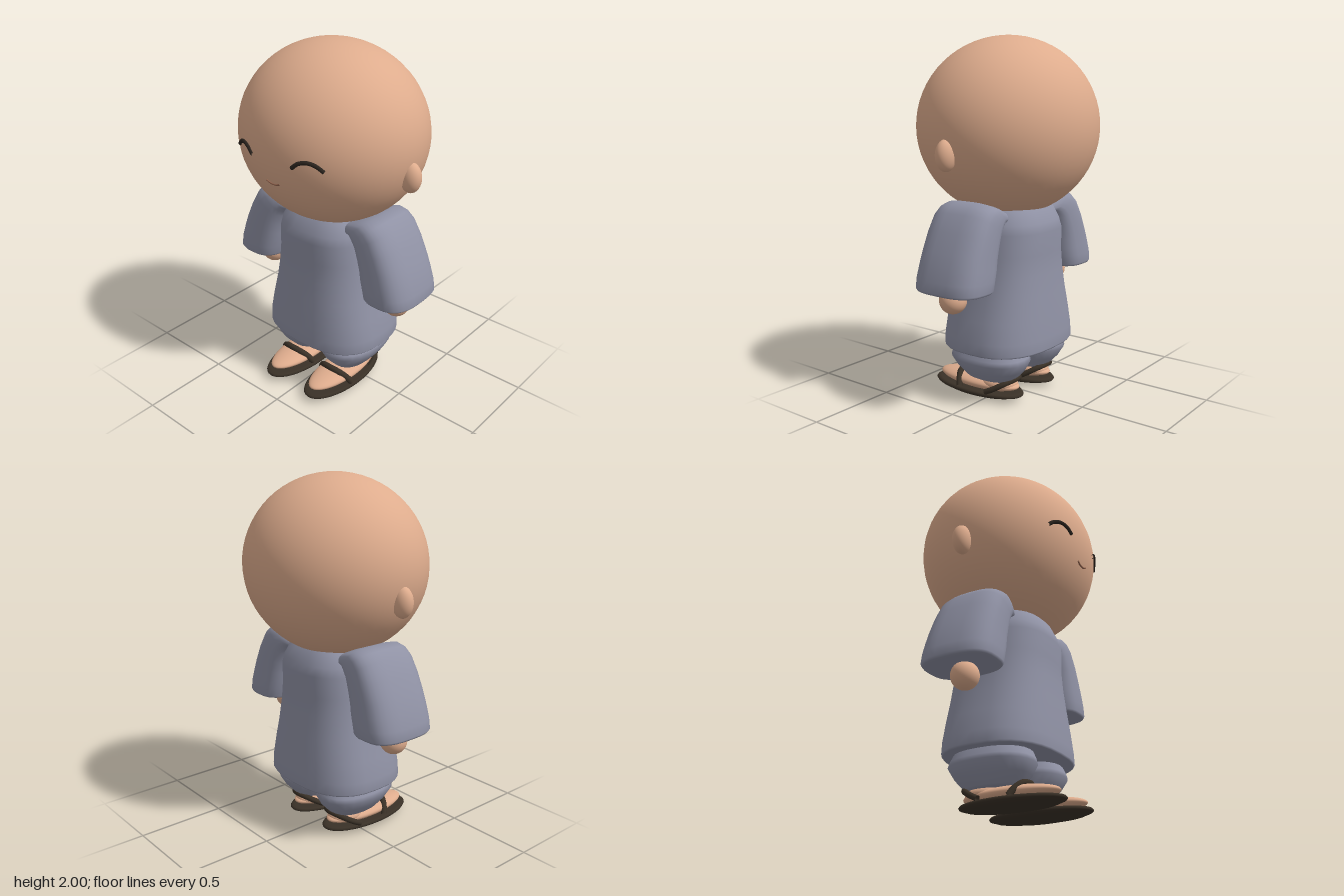
import * as THREE from 'three';

const HEAD = { y: 1.51, rx: 0.53, ry: 0.49, rz: 0.487 };

// Skin a stack of rings, listed bottom to top. Each ring: [outer x, outer y, inner x, inner y, half depth]
function loft(rings, power, segments = 32) {
  const pos = [], index = [];
  const soft = (v) => Math.sign(v) * Math.pow(Math.abs(v), 2 / power);
  rings.forEach(([ox, oy, ix, iy, hz], r) => {
    for (let i = 0; i < segments; i++) {
      const t = (i / segments) * Math.PI * 2;
      const c = soft(Math.cos(t)) / 2;
      pos.push((ox + ix) / 2 + (ox - ix) * c, (oy + iy) / 2 + (oy - iy) * c, hz * soft(Math.sin(t)));
      if (r < rings.length - 1) {
        const a = r * segments + i, b = r * segments + ((i + 1) % segments);
        index.push(a, a + segments, b, b, a + segments, b + segments);
      }
    }
  });
  const g = new THREE.BufferGeometry();
  g.setAttribute('position', new THREE.Float32BufferAttribute(pos, 3));
  g.setIndex(index);
  g.computeVertexNormals();
  return g;
}

// Level ring: centre x, height, half width, half depth
const level = (x, y, rx, rz) => [x + rx, y, x - rx, y, rz];

function ellipsoid(x, y, z, rx, ry, rz) {
  return new THREE.SphereGeometry(1, 48, 32).scale(rx, ry, rz).translate(x, y, z);
}

function tube(points, radius) {
  const curve = new THREE.CatmullRomCurve3(points.map((p) => new THREE.Vector3(...p)));
  return new THREE.TubeGeometry(curve, 28, radius, 10);
}

// Lay a 2D line on the front of the head
function onFace(points) {
  return points.map(([x, y]) => {
    const k = 1 - (x / HEAD.rx) ** 2 - ((y - HEAD.y) / HEAD.ry) ** 2;
    return [x, y, HEAD.rz * Math.sqrt(k)];
  });
}

// Mirrored copy in x with the winding put right
function mirror(geometry) {
  const g = geometry.clone().scale(-1, 1, 1);
  const a = g.index.array;
  for (let i = 0; i < a.length; i += 3) [a[i], a[i + 1]] = [a[i + 1], a[i]];
  return g;
}

export function createModel() {
  const model = new THREE.Group();
  model.name = 'figure';
  const material = (name, color, side = THREE.FrontSide) => {
    const m = new THREE.MeshStandardMaterial({ color, side });
    m.name = name;
    return m;
  };
  const skin = material('skin', 0xdeac8d);
  const cloth = material('greyCloth', 0x9092a5);
  const sandal = material('sandalBrown', 0x3a3127, THREE.DoubleSide);
  const eyeDark = material('eyeDark', 0x2b241e, THREE.DoubleSide);
  const lip = material('lipBrown', 0x94654f, THREE.DoubleSide);

  const add = (name, geometry, mat) => {
    const mesh = new THREE.Mesh(geometry, mat);
    mesh.name = name;
    model.add(mesh);
  };
  const pair = (name, geometry, mat) => {
    add('left' + name, geometry, mat);
    add('right' + name, mirror(geometry), mat);
  };

  // Head and face
  add('head', ellipsoid(0, HEAD.y, 0, HEAD.rx, HEAD.ry, HEAD.rz), skin);
  pair('Ear', ellipsoid(0.515, 1.385, 0.008, 0.06, 0.083, 0.051), skin);
  pair('Eye', tube(onFace([[0.135, 1.48], [0.17, 1.509], [0.212, 1.52], [0.255, 1.509], [0.29, 1.48]]), 0.011), eyeDark);
  add('mouth', tube(onFace([[-0.045, 1.363], [-0.025, 1.354], [0, 1.351], [0.025, 1.354], [0.045, 1.363]]), 0.005), lip);

  // Robe with a closed, slightly rounded hem
  add('robe', loft([
    level(0, 0.3, 0.001, 0.001), level(0, 0.298, 0.33, 0.27), level(0, 0.298, 0.365, 0.3),
    level(0, 0.308, 0.373, 0.307), level(0, 0.37, 0.37, 0.304), level(0, 0.48, 0.347, 0.295),
    level(0, 0.6, 0.318, 0.283), level(0, 0.72, 0.298, 0.271), level(0, 0.83, 0.287, 0.265),
    level(0, 0.95, 0.278, 0.272), level(0, 1.0, 0.268, 0.258), level(0, 1.07, 0.235, 0.225),
    level(0, 1.12, 0.17, 0.17), level(0, 1.13, 0.001, 0.001),
  ], 2.6), cloth);

  // Wide sleeves, from cuff to shoulder
  pair('Sleeve', loft([
    [0.471, 0.68, 0.469, 0.68, 0.001], [0.59, 0.676, 0.345, 0.674, 0.18], [0.612, 0.677, 0.325, 0.674, 0.198],
    [0.621, 0.69, 0.317, 0.685, 0.206], [0.612, 0.745, 0.306, 0.735, 0.207], [0.588, 0.82, 0.294, 0.78, 0.205],
    [0.562, 0.89, 0.287, 0.83, 0.202], [0.515, 0.99, 0.275, 0.89, 0.2], [0.462, 1.08, 0.255, 0.95, 0.195],
    [0.415, 1.12, 0.235, 0.98, 0.19], [0.36, 1.135, 0.215, 1.0, 0.18], [0.29, 1.115, 0.19, 1.0, 0.165],
    [0.21, 1.08, 0.15, 1.0, 0.14],
  ], 2.9), cloth);
  pair('Hand', ellipsoid(0.465, 0.623, 0.015, 0.074, 0.074, 0.074), skin);

  // Gathered trouser legs
  pair('TrouserLeg', loft([
    level(0.155, 0.118, 0.001, 0.001), level(0.155, 0.118, 0.09, 0.14), level(0.157, 0.126, 0.105, 0.155),
    level(0.163, 0.18, 0.143, 0.205), level(0.169, 0.235, 0.169, 0.237), level(0.167, 0.26, 0.163, 0.23),
    level(0.163, 0.31, 0.145, 0.208), level(0.16, 0.36, 0.12, 0.18),
  ], 2.3, 24), cloth);

  // Feet
  pair('Foot', ellipsoid(0.15, 0.083, 0.097, 0.105, 0.042, 0.272), skin);
  pair('Heel', ellipsoid(0.15, 0.095, -0.04, 0.09, 0.05, 0.12), skin);

  // Sandals: flat-topped oval sole, front strap and heel strap
  const soleProfile = [[0, 0], [0.5, 0.006], [0.85, 0.018], [0.98, 0.03], [1, 0.038], [0.97, 0.047], [0.9, 0.05], [0, 0.05]]
    .map(([x, y]) => new THREE.Vector2(x, y + 0.004));
  const sole = new THREE.LatheGeometry(soleProfile, 40).scale(0.134, 1, 0.3).translate(0.15, 0, 0.1);
  pair('Sole', sole, sandal);
  pair('FrontStrap', tube([
    [0.035, 0.055, 0.15], [0.053, 0.085, 0.165], [0.095, 0.12, 0.19], [0.15, 0.13, 0.2],
    [0.205, 0.12, 0.19], [0.247, 0.085, 0.165], [0.265, 0.055, 0.15],
  ], 0.018), sandal);
  pair('HeelStrap', tube([
    [0.04, 0.06, -0.03], [0.05, 0.085, -0.08], [0.085, 0.118, -0.135], [0.15, 0.13, -0.158],
    [0.215, 0.118, -0.135], [0.25, 0.085, -0.08], [0.26, 0.06, -0.03],
  ], 0.016), sandal);

  return model;
}
